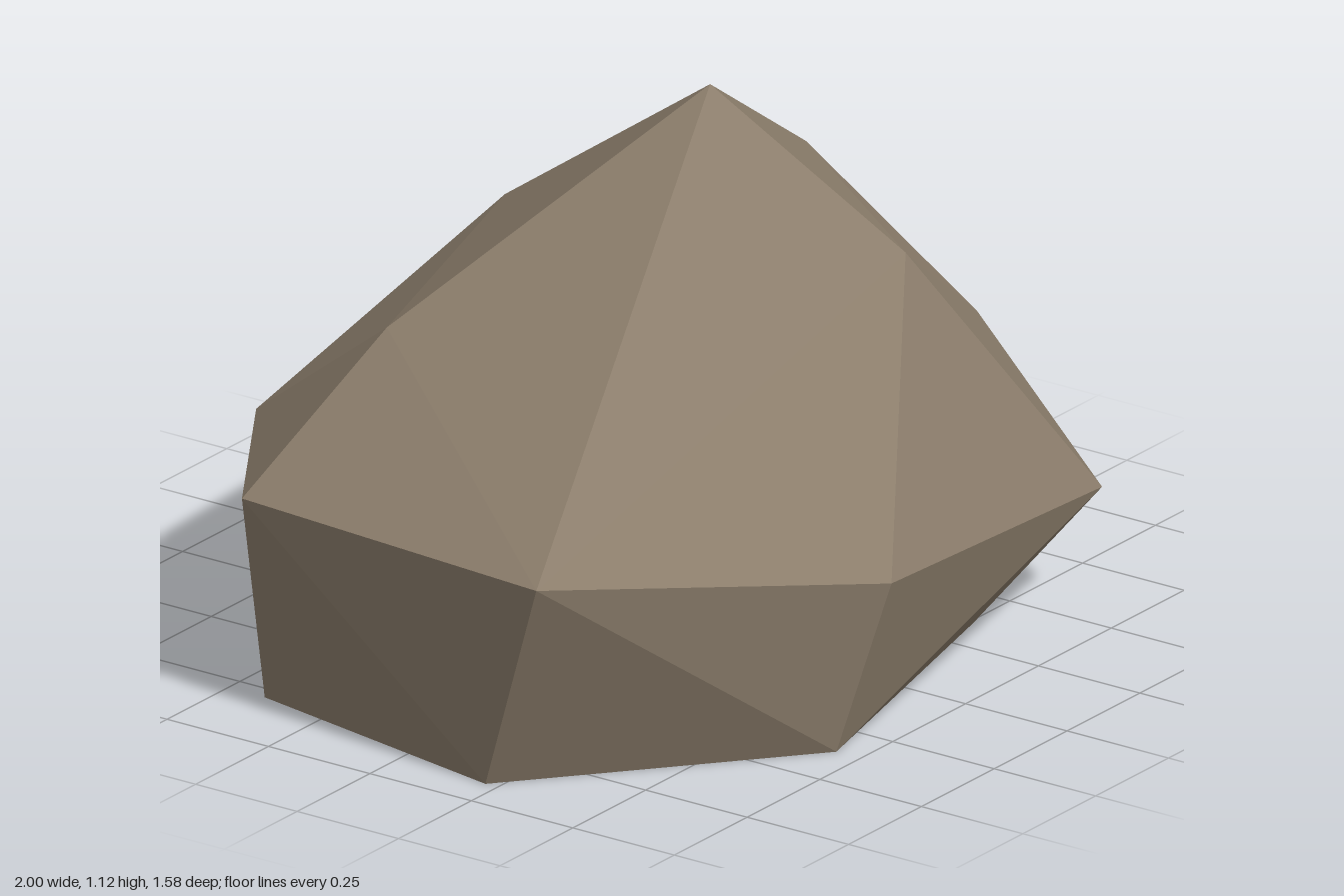
import * as THREE from 'three';
import { ConvexGeometry } from 'three/addons/geometries/ConvexGeometry.js';

// Rings of corner points, from the ground up: [x, y, z]
const baseRing = [
  [0.42, 0, -0.72], [0.74, 0, -0.07], [0.36, 0, 0.51], [-0.36, 0, 0.69],
  [-0.91, 0, 0.22], [-0.79, 0, -0.41], [-0.28, 0, -0.775],
];
const middleRing = [
  [0.53, 0.43, -0.66], [1, 0.36, 0.06], [0.58, 0.26, 0.67], [-0.31, 0.37, 0.79],
  [-1, 0.49, 0.41], [-0.91, 0.475, -0.38], [-0.29, 0.37, -0.79],
];
const shoulderRing = [
  [0.23, 0.72, -0.55], [0.61, 0.82, -0.08], [0.24, 0.82, 0.43], [-0.51, 0.73, -0.31],
];
const peak = [0.14, 1.12, 0.02];

export function createModel() {
  const group = new THREE.Group();
  group.name = 'rock';

  const stone = new THREE.MeshStandardMaterial({ color: 0x8b7d6b, flatShading: true });
  stone.name = 'brown stone';

  // Faceted boulder: the convex skin around all corner points
  const points = [...baseRing, ...middleRing, ...shoulderRing, peak]
    .map((p) => new THREE.Vector3(...p));
  const boulder = new THREE.Mesh(new ConvexGeometry(points), stone);
  boulder.name = 'boulder';
  group.add(boulder);

  return group;
}
